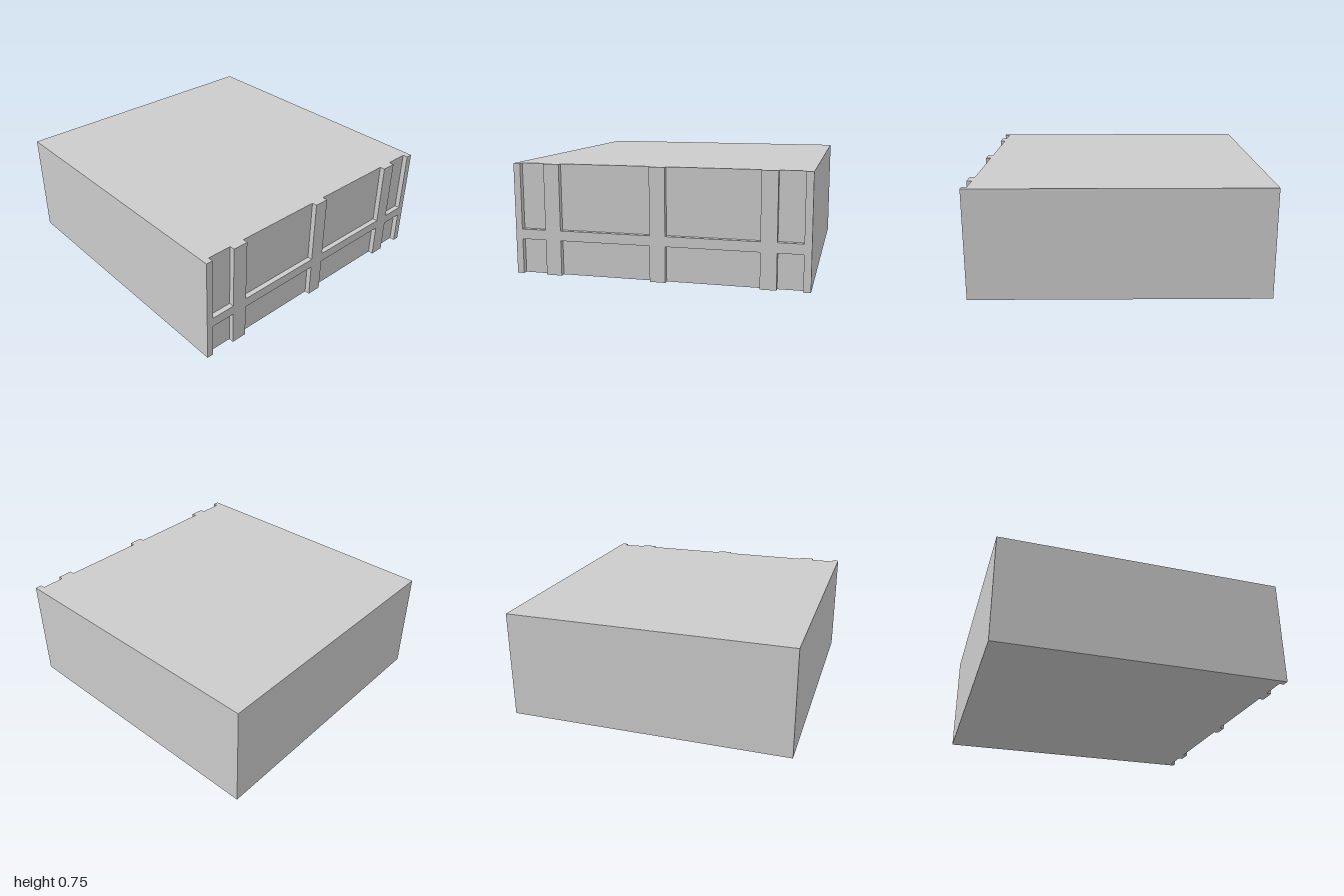
import * as THREE from 'three';

const HALF_W = 0.983, HEIGHT = 0.746, BACK = -1, FRONT = 1, RECESS = 0.965;
const RAIL_BOTTOM = 0.237, RAIL_TOP = 0.304;

// Left and right edges of the recessed bays between the upright strips
const BAYS = [[-0.937, -0.769], [-0.662, -0.047], [0.057, 0.667], [0.772, 0.936]];

// Outline of the raised trim: uprights joined by one rail, bays open above and below
function trimShape() {
  const points = [[-HALF_W, 0]];
  for (const [a, b] of BAYS) points.push([a, 0], [a, RAIL_BOTTOM], [b, RAIL_BOTTOM], [b, 0]);
  points.push([HALF_W, 0], [HALF_W, HEIGHT]);
  for (const [a, b] of [...BAYS].reverse()) {
    points.push([b, HEIGHT], [b, RAIL_TOP], [a, RAIL_TOP], [a, HEIGHT]);
  }
  points.push([-HALF_W, HEIGHT]);
  return new THREE.Shape(points.map(([x, y]) => new THREE.Vector2(x, y)));
}

export function createModel() {
  const group = new THREE.Group();
  group.name = 'panelledBlock';
  const material = new THREE.MeshStandardMaterial({ color: 0xcccccc });

  // Main block, ending at the recessed panel plane
  const body = new THREE.Mesh(new THREE.BoxGeometry(HALF_W * 2, HEIGHT, RECESS - BACK), material);
  body.name = 'body';
  body.position.set(0, HEIGHT / 2, (RECESS + BACK) / 2);
  group.add(body);

  // Raised uprights and rail on the front
  const trim = new THREE.Mesh(
    new THREE.ExtrudeGeometry(trimShape(), { depth: FRONT - RECESS, bevelEnabled: false }),
    material
  );
  trim.name = 'frontTrim';
  trim.position.z = RECESS;
  group.add(trim);

  return group;
}
